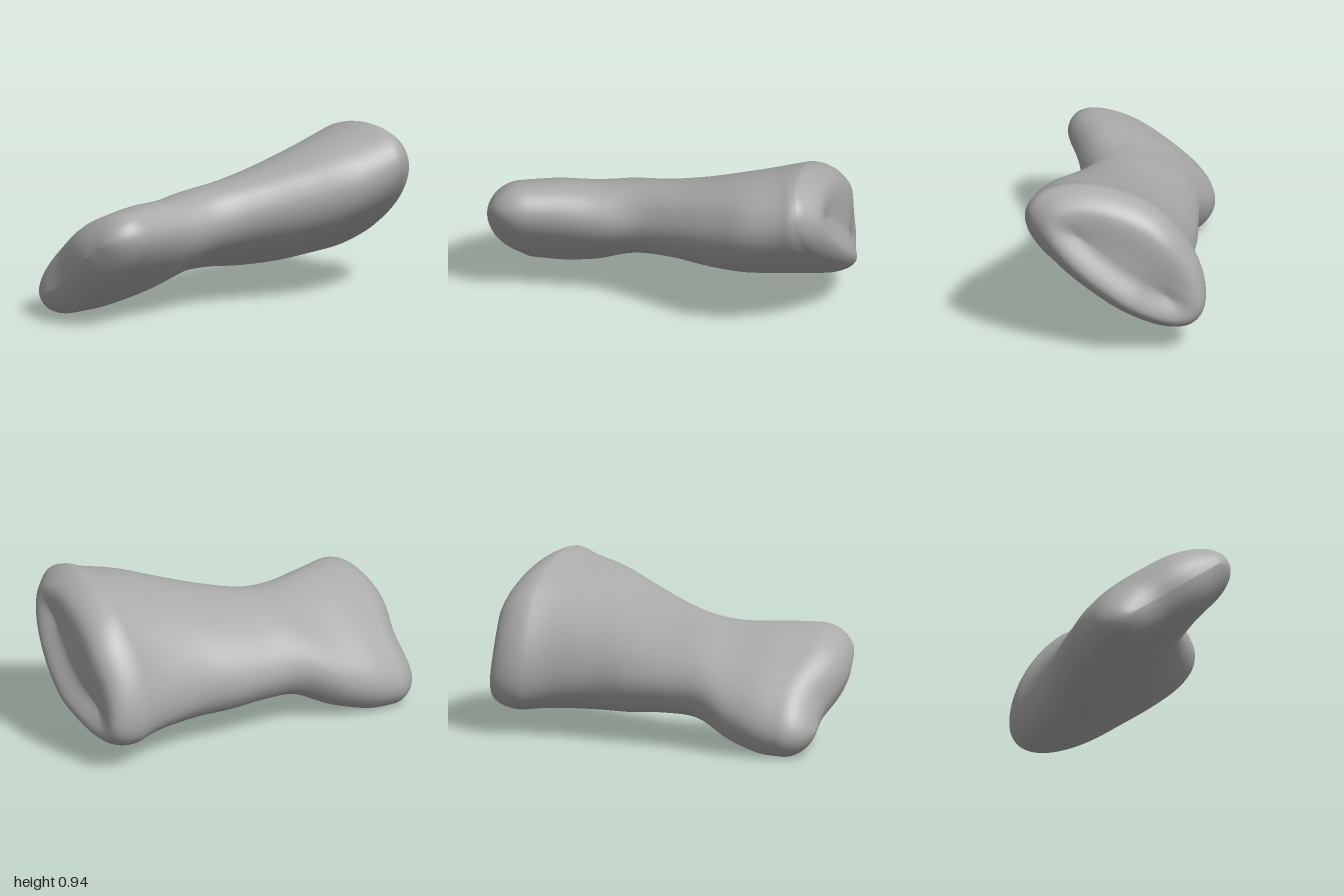
import * as THREE from 'three';

// Cross-sections along the shaft, front to back: tilted rounded D shapes with
// half length a, height above the long axis and depth below it.
//  z, centre x, centre y, a, above, below, tilt in degrees
const SECTIONS = [
  [0.80, -0.30, 0.335, 0.46, 0.195, 0.185, 37],
  [0.60, -0.285, 0.34, 0.44, 0.21, 0.20, 37],
  [0.40, -0.24, 0.362, 0.40, 0.21, 0.205, 34],
  [0.20, -0.165, 0.42, 0.355, 0.205, 0.20, 29],
  [0.00, -0.07, 0.45, 0.395, 0.215, 0.21, 28],
  [-0.20, 0.035, 0.475, 0.455, 0.25, 0.235, 29],
  [-0.40, 0.14, 0.505, 0.505, 0.295, 0.245, 31],
  [-0.65, 0.20, 0.53, 0.54, 0.335, 0.235, 35],
  [-0.82, 0.20, 0.53, 0.555, 0.355, 0.225, 37],
];
const STEPS = 5, CAP = 10, SIDES = 64;
const LAST = SECTIONS.length - 1;
const { clamp, smoothstep, lerp, degToRad } = THREE.MathUtils;

// Catmull-Rom blend of the section values
function sectionAt(t) {
  const i = Math.min(Math.floor(t), LAST - 1), f = t - i;
  const [p, q, r, s] = [i - 1, i, i + 1, i + 2].map((j) => SECTIONS[clamp(j, 0, LAST)]);
  return q.map((v, c) => v + 0.5 * f * (r[c] - p[c]
    + f * (2 * p[c] - 5 * v + 4 * r[c] - s[c] + f * (3 * (v - r[c]) + s[c] - p[c]))));
}

// Slants the back end and sets the lower knuckle behind the upper one
function shapeEnds(x, y, z) {
  const u = 0.8 * x + 0.6 * y, n = 0.8 * y - 0.6 * x;
  if (z > 0) {
    const setBack = 0.1 * (1 - smoothstep(u, -0.35, 0.15));
    const groove = 0.018 * Math.exp(-(((u + 0.16) / 0.12) ** 2));
    return z - (setBack + groove) * smoothstep(z, 0.4, 1);
  }
  const w = clamp((u - 0.35) / 0.65, 0, 1);
  const slant = 0.23 * w ** 1.3 + 0.12 * Math.max(0, n - 0.35);
  return z + slant * (1 - smoothstep(z, -1, -0.5));
}

// One closed loop, counter-clockwise seen from the front; k shrinks it
// evenly from its rim down to a short line
function ring([, cx, cy, a, above, below, degrees], z, k) {
  const tilt = degToRad(degrees), c = Math.cos(tilt), s = Math.sin(tilt);
  const back = smoothstep(-z, -0.1, 0.8);
  const half = a - (1 - k) * (above + below) / 2;
  const points = [];
  for (let j = 0; j < SIDES; j++) {
    const angle = (2 * Math.PI * j) / SIDES;
    const co = Math.cos(angle), si = Math.sin(angle);
    const power = si > 0 ? lerp(2.25, 1.75, back) : 2.35;
    const u = half * Math.sign(co) * Math.abs(co) ** (2 / power);
    const n = k * (si > 0 ? above : below) * Math.sign(si) * Math.abs(si) ** (2 / power);
    const x = cx + u * c - n * s, y = cy + u * s + n * c;
    points.push(x, y, shapeEnds(x, y, z));
  }
  return points;
}

function boneGeometry() {
  const rings = [];
  // Rounded front knuckles
  for (let i = 0; i < CAP; i++) {
    const a = (Math.PI / 2) * (i / CAP);
    rings.push(ring(SECTIONS[0], 0.8 + 0.2 * Math.cos(a), Math.sin(a)));
  }
  // Shaft
  for (let i = 0; i <= LAST * STEPS; i++) {
    const section = sectionAt(i / STEPS);
    rings.push(ring(section, section[0], 1));
  }
  // Rounded rim of the back end
  for (let i = 1; i <= CAP; i++) {
    const a = (Math.PI / 2) * (i / CAP);
    rings.push(ring(SECTIONS[LAST], -0.82 - 0.18 * Math.sin(a), 0.64 + 0.36 * Math.cos(a)));
  }
  // Shallow hollow inside the rim
  for (let i = 1; i <= CAP; i++) {
    const f = i / CAP;
    rings.push(ring(SECTIONS[LAST], -1 + 0.04 * smoothstep(f, 0, 1), 0.64 * (1 - f)));
  }

  const index = [];
  for (let i = 0; i < rings.length - 1; i++) {
    for (let j = 0; j < SIDES; j++) {
      const a = i * SIDES + j, b = i * SIDES + ((j + 1) % SIDES);
      index.push(a, a + SIDES, b, b, a + SIDES, b + SIDES);
    }
  }
  const geometry = new THREE.BufferGeometry();
  geometry.setAttribute('position', new THREE.Float32BufferAttribute(rings.flat(), 3));
  geometry.setIndex(index);
  geometry.computeVertexNormals();
  return geometry;
}

export function createModel() {
  const boneGrey = new THREE.MeshStandardMaterial({ color: 0xaaaaaa });
  boneGrey.name = 'boneGrey';
  const bone = new THREE.Mesh(boneGeometry(), boneGrey);
  bone.name = 'toeBone';
  const group = new THREE.Group();
  group.name = 'bone';
  group.add(bone);
  return group;
}
